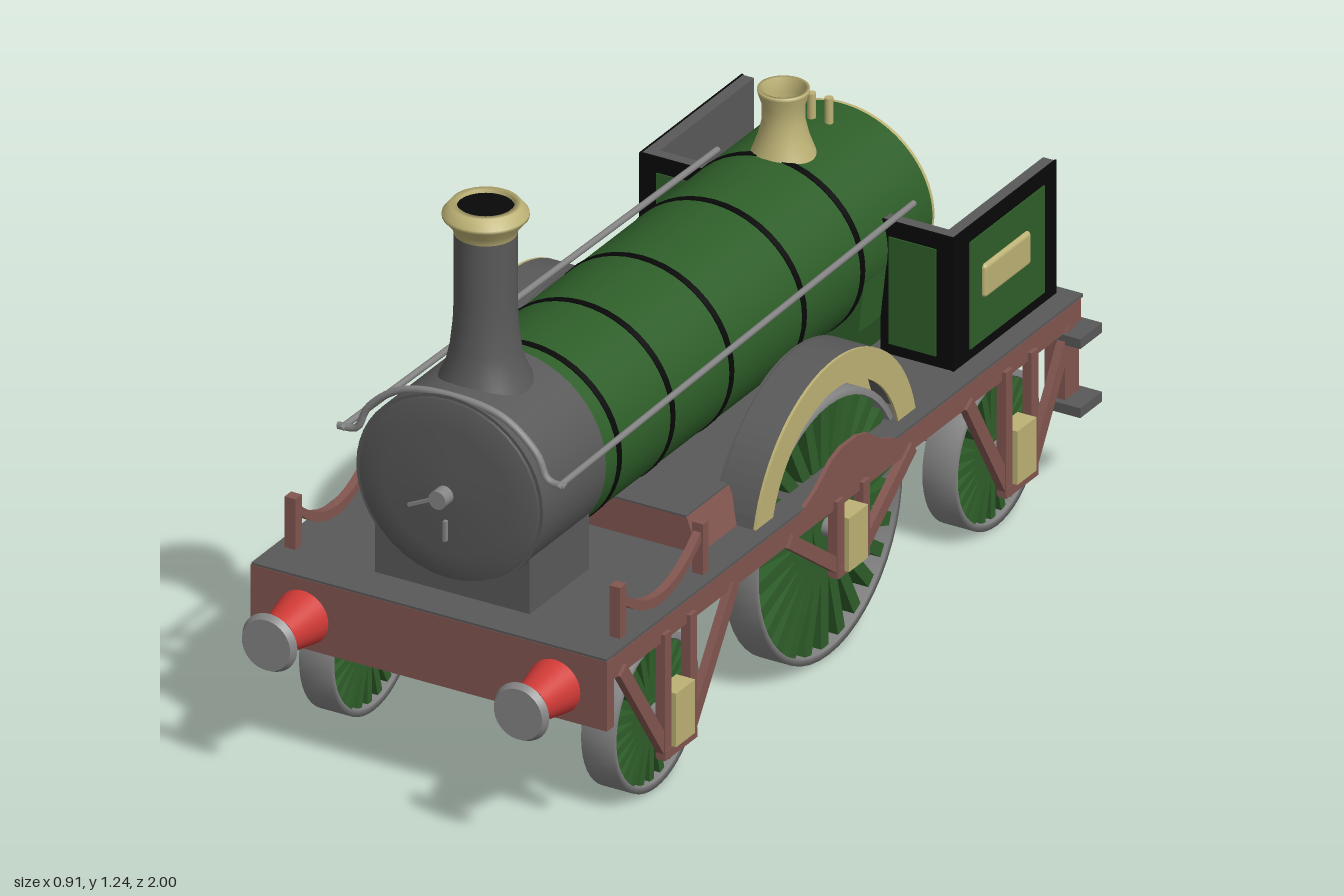
import * as THREE from 'three';
import { RoundedBoxGeometry } from 'three/addons/geometries/RoundedBoxGeometry.js';

const paint = (name, color) => Object.assign(new THREE.MeshStandardMaterial({ color }), { name });
const M = {
  grey: paint('dark grey', 0x595959), steel: paint('steel', 0x858585), green: paint('green', 0x2e5e29),
  black: paint('black', 0x080808), cream: paint('brass cream', 0xbdb275), brown: paint('frame brown', 0x835650),
  red: paint('buffer red', 0xcf3a36), brass: paint('open brass', 0xbdb275),
};
M.brass.side = THREE.DoubleSide;

export function createModel() {
  const root = new THREE.Group();
  root.name = 'steamLocomotive';

  const add = (name, geo, mat, x = 0, y = 0, z = 0, parent = root) => {
    const m = new THREE.Mesh(geo, mat);
    m.name = name;
    m.position.set(x, y, z);
    parent.add(m);
    return m;
  };
  // Box from its limits on each axis
  const box = (name, mat, x0, x1, y0, y1, z0, z1) =>
    add(name, new THREE.BoxGeometry(x1 - x0, y1 - y0, z1 - z0), mat, (x0 + x1) / 2, (y0 + y1) / 2, (z0 + z1) / 2);
  const boxPair = (name, mat, x0, x1, ...r) => {
    box(name, mat, x0, x1, ...r);
    box(name, mat, -x1, -x0, ...r);
  };
  // Cylinder along z from z0 to z1, optionally wider than tall
  const drum = (name, mat, x, y, z0, z1, r0, r1 = r0, wide = 1) =>
    add(name, new THREE.CylinderGeometry(r1, r0, z1 - z0, 48).rotateX(Math.PI / 2).scale(wide, 1, 1), mat, x, y, (z0 + z1) / 2);
  const lathe = (name, mat, pts, x, y, z) =>
    add(name, new THREE.LatheGeometry(pts.map(p => new THREE.Vector2(...p)), 36), mat, x, y, z);
  // Prism with a [z, y] outline, centred on x = 0
  const prism = (pts, width) => {
    const shape = new THREE.Shape(pts.map(([z, y]) => new THREE.Vector2(-z, y)));
    return new THREE.ExtrudeGeometry(shape, { depth: width, bevelEnabled: false })
      .translate(0, 0, -width / 2).rotateY(Math.PI / 2);
  };
  const platePair = (name, mat, pts, x0, x1) => {
    for (const s of [1, -1]) add(name, prism(pts, x1 - x0), mat, s * (x0 + x1) / 2);
  };
  // Straight bar in the side plane
  const barPair = (name, mat, z0, y0, z1, y1, w, x0, x1) => {
    const len = Math.hypot(z1 - z0, y1 - y0);
    const g = new THREE.BoxGeometry(x1 - x0, w, len).rotateX(-Math.atan2(y1 - y0, z1 - z0));
    for (const s of [1, -1]) add(name, g, mat, s * (x0 + x1) / 2, (y0 + y1) / 2, (z0 + z1) / 2);
  };
  const arc = (r, a0, a1, n, cz, cy) => Array.from({ length: n + 1 }, (_, i) => {
    const a = a0 + (a1 - a0) * i / n;
    return [cz + r * Math.cos(a), cy + r * Math.sin(a)];
  });

  // Deck, beam, saddle and cylinders
  box('deck', M.grey, -0.404, 0.404, 0.368, 0.415, -1, 0.835);
  box('deckTop', M.grey, -0.413, 0.413, 0.414, 0.421, -1, 0.856);
  box('bufferBeam', M.brown, -0.415, 0.415, 0.26, 0.416, 0.83, 0.857);
  box('smokeboxSaddle', M.grey, -0.18, 0.18, 0.42, 0.58, 0.535, 0.765);
  box('cylinderBlock', M.grey, -0.25, 0.25, 0.175, 0.37, 0.4, 0.61);
  box('cylinderFront', M.black, -0.25, 0.25, 0.175, 0.368, 0.61, 0.615);

  // Cross casing under the boiler, with sloping ends
  const casing = new THREE.Shape([[-0.337, 0.42], [0.337, 0.42], [0.308, 0.496], [-0.308, 0.496]].map(p => new THREE.Vector2(...p)));
  add('crossCasing', new THREE.ExtrudeGeometry(casing, { depth: 0.165, bevelEnabled: false }), M.brown, 0, 0, 0.203);
  box('casingTop', M.grey, -0.306, 0.306, 0.496, 0.5, 0.203, 0.368);

  // Boiler with bands, slightly wider than tall
  drum('boiler', M.green, 0, 0.65, -0.745, 0.53, 0.2, 0.2, 1.06);
  for (const z of [0.47, 0.262, 0.033, -0.25, -0.477]) drum('boilerBand', M.black, 0, 0.65, z - 0.008, z + 0.008, 0.202, 0.202, 1.06);
  drum('smokebox', M.grey, 0, 0.66, 0.53, 0.775, 0.207, 0.207, 1.05);
  const door = lathe('smokeboxDoor', M.grey, [[0.201, 0], [0.198, 0.008], [0.14, 0.017], [0, 0.022]], 0, 0.66, 0.773);
  door.rotation.x = Math.PI / 2;
  door.scale.x = 1.045;
  drum('doorKnob', M.steel, 0, 0.655, 0.78, 0.825, 0.02);
  add('doorHandle', new THREE.BoxGeometry(0.085, 0.007, 0.007).rotateZ(0.45), M.steel, -0.04, 0.635, 0.805);
  box('doorHandle', M.steel, 0.001, 0.008, 0.555, 0.6, 0.795, 0.805);

  // Firebox with its backhead and the sloping pan under the deck
  const fire = new THREE.Shape();
  fire.moveTo(-0.13, 0.315);
  fire.lineTo(0.13, 0.315);
  fire.lineTo(0.195, 0.5);
  fire.lineTo(0.212, 0.65);
  fire.absellipse(0, 0.65, 0.212, 0.2, 0, Math.PI, false);
  fire.lineTo(-0.195, 0.5);
  const fireGeo = d => new THREE.ExtrudeGeometry(fire, { depth: d, bevelEnabled: false, curveSegments: 32 });
  add('firebox', fireGeo(0.26), M.green, 0, 0, -0.75);
  add('backhead', fireGeo(0.008), M.cream, 0, 0, -0.758);
  add('firePan', prism([[-0.38, 0.39], [-0.475, 0.315], [-0.5, 0.315], [-0.5, 0.39]], 0.26), M.green);

  // Chimney, safety valve cover and whistles
  lathe('chimney', M.grey, [[0.105, 0.82], [0.093, 0.86], [0.081, 0.885], [0.072, 0.925], [0.066, 0.98], [0.064, 1.03], [0.064, 1.18]], 0, 0, 0.635);
  lathe('chimneyCap', M.cream, [[0.064, 1.175], [0.068, 1.19], [0.088, 1.213], [0.088, 1.22], [0.072, 1.24], [0.058, 1.24], [0.058, 1.2]], 0, 0, 0.635);
  add('chimneyHole', new THREE.CylinderGeometry(0.06, 0.06, 0.006, 36), M.black, 0, 1.23, 0.635);
  lathe('safetyValveCover', M.brass, [[0.075, 0.82], [0.063, 0.85], [0.052, 0.88], [0.044, 0.915], [0.044, 0.95], [0.053, 0.978], [0.053, 0.985], [0.045, 0.985], [0.042, 0.95]], 0, 0, -0.525);
  for (const s of [1, -1]) add('whistle', new THREE.CylinderGeometry(0.009, 0.009, 0.08, 12), M.cream, s * 0.02, 0.865, -0.668);

  // Handrails along the boiler and over the smokebox
  const tube = (name, pts, r) => add(name, new THREE.TubeGeometry(
    new THREE.CatmullRomCurve3(pts.map(p => new THREE.Vector3(...p))), 48, r, 8), M.steel);
  tube('frontHandrail', [[-0.265, 0.728, 0.765], [-0.222, 0.735, 0.765], [-0.197, 0.785, 0.765], [-0.12, 0.846, 0.765], [0, 0.864, 0.765],
    [0.12, 0.846, 0.765], [0.197, 0.785, 0.765], [0.222, 0.735, 0.765], [0.265, 0.728, 0.765]], 0.008);
  for (const s of [1, -1]) tube('handrail', [[s * 0.252, 0.73, 0.78], [s * 0.24, 0.73, 0.1], [s * 0.228, 0.73, -0.65]], 0.007);

  // Buffers
  for (const s of [1, -1]) {
    drum('bufferHousing', M.red, s * 0.293, 0.33, 0.855, 0.955, 0.06, 0.04);
    drum('bufferRod', M.steel, s * 0.293, 0.33, 0.95, 0.985, 0.02, 0.03);
    drum('bufferHead', M.steel, s * 0.293, 0.33, 0.985, 1, 0.064, 0.056);
  }

  // Wheels: deep thin rim, hub and spokes
  const wheelSet = (name, z, r, n, spokeW) => {
    const rim = new THREE.LatheGeometry([[r - 0.014, -0.037], [r, -0.037], [r, 0.037], [r - 0.014, 0.037], [r - 0.014, -0.037]]
      .map(p => new THREE.Vector2(...p)), 48).rotateZ(Math.PI / 2);
    const hub = new THREE.CylinderGeometry(r * 0.17, r * 0.17, 0.062, 24).rotateZ(Math.PI / 2);
    const spoke = new THREE.BoxGeometry(0.055, r - 0.018, spokeW).translate(0, r / 2, 0);
    for (const s of [1, -1]) {
      const g = new THREE.Group();
      g.name = name;
      g.position.set(s * 0.328, r, z);
      root.add(g);
      add('rim', rim, M.steel, 0, 0, 0, g);
      add('hub', hub, M.green, 0, 0, 0, g);
      for (let i = 0; i < n; i++) add('spoke', spoke, M.green, 0, 0, 0, g).rotation.x = i / n * Math.PI * 2;
    }
    add('axle', new THREE.CylinderGeometry(0.02, 0.02, 0.78, 20).rotateZ(Math.PI / 2), M.steel, 0, r, z);
  };
  wheelSet('frontWheel', 0.583, 0.168, 24, 0.018);
  wheelSet('drivingWheel', -0.09, 0.287, 26, 0.028);
  wheelSet('rearWheel', -0.746, 0.168, 24, 0.018);

  // Splashers over the driving wheels
  const a0 = 0.235, a1 = Math.PI - a0, cz = -0.09, cy = 0.346;
  const ring = ri => [...arc(0.32, a0, a1, 32, cz, cy), ...arc(ri, a1, a0, 32, cz, cy)];
  platePair('splasherTop', M.grey, ring(0.308), 0.287, 0.375);
  platePair('splasherRim', M.cream, ring(0.255), 0.375, 0.381);
  platePair('splasherInnerWall', M.grey, arc(0.32, a0, a1, 32, cz, cy), 0.28, 0.285);
  platePair('splasherLining', M.cream, arc(0.31, a0, a1, 32, cz, cy), 0.285, 0.289);

  // Outside frames, with a thin hump over the driving axle
  boxPair('sideFrame', M.brown, 0.404, 0.414, 0.365, 0.415, -0.99, 0.85);
  platePair('frameHump', M.brown, [[0.1, 0.415], [0.04, 0.44], [-0.02, 0.48], [-0.06, 0.492],
    [-0.12, 0.492], [-0.16, 0.48], [-0.22, 0.44], [-0.28, 0.415]], 0.405, 0.414);

  // Axle guards and axleboxes
  const guard = (z, bottom, half, boxY) => {
    for (const d of [1, -1]) {
      barPair('guardBrace', M.brown, z + d * half, 0.375, z + d * 0.05, bottom + 0.02, 0.03, 0.403, 0.421);
      barPair('guardPost', M.brown, z + d * 0.05, 0.385, z + d * 0.05, bottom, 0.026, 0.401, 0.423);
    }
    barPair('guardTie', M.brown, z - 0.062, bottom + 0.008, z + 0.062, bottom + 0.008, 0.022, 0.403, 0.424);
    boxPair('axlebox', M.cream, 0.39, 0.434, boxY - 0.06, boxY + 0.06, z - 0.037, z + 0.037);
  };
  guard(0.583, 0.105, 0.22, 0.185);
  guard(-0.09, 0.215, 0.24, 0.28);
  guard(-0.746, 0.105, 0.2, 0.185);

  // Front springs between posts
  const sag = (dy, flip) => {
    const p = Array.from({ length: 13 }, (_, i) => [0.755 - i * 0.0267, 0.425 + dy + 0.075 * ((i - 6) / 6) ** 2]);
    return flip ? p.reverse() : p;
  };
  platePair('leafSpring', M.brown, [...sag(0), ...sag(0.022, true)], 0.367, 0.385);
  boxPair('springPost', M.brown, 0.365, 0.39, 0.42, 0.535, 0.74, 0.765);
  boxPair('springPost', M.brown, 0.365, 0.39, 0.42, 0.535, 0.42, 0.442);

  // Cab sheets: grey walls faced with black borders and green panels
  boxPair('cabSide', M.grey, 0.336, 0.362, 0.42, 0.719, -0.973, -0.58);
  boxPair('cabSideBorder', M.black, 0.362, 0.366, 0.42, 0.72, -0.975, -0.574);
  boxPair('cabSidePanel', M.green, 0.366, 0.369, 0.445, 0.685, -0.925, -0.635);
  for (const s of [1, -1]) add('cabPlate', new RoundedBoxGeometry(0.02, 0.075, 0.18, 3, 0.009), M.cream, s * 0.368, 0.578, -0.77);
  boxPair('cabFront', M.grey, 0.195, 0.337, 0.42, 0.719, -0.606, -0.58);
  boxPair('cabFrontBorder', M.black, 0.195, 0.364, 0.42, 0.72, -0.58, -0.576);
  boxPair('cabFrontPanel', M.green, 0.215, 0.325, 0.445, 0.685, -0.576, -0.573);

  // Rear steps
  boxPair('stepHanger', M.brown, 0.365, 0.412, 0.19, 0.37, -0.985, -0.93);
  for (const y of [0.345, 0.19]) boxPair('step', M.grey, 0.38, 0.457, y, y + 0.022, -1, -0.915);

  return root;
}
